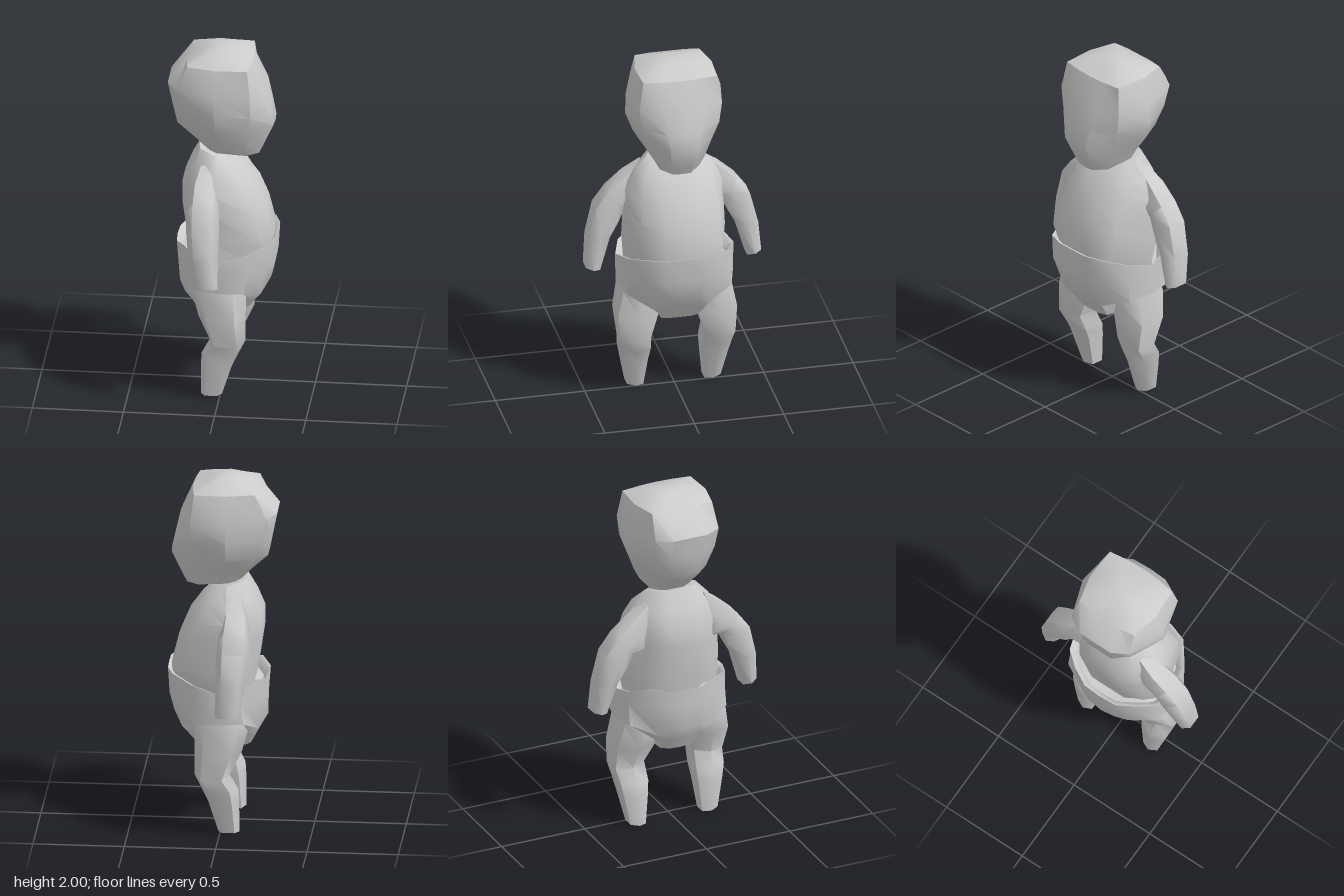
import * as THREE from 'three';
import { toCreasedNormals } from 'three/addons/utils/BufferGeometryUtils.js';

const material = new THREE.MeshStandardMaterial({ color: 0xcccccc });

// Skin a stack of closed rings, listed from top to bottom, and cap both ends.
function loft(name, rings, crease) {
  const pos = [];
  const tri = (...pts) => pts.forEach((p) => pos.push(...p));
  const centre = (ring) => [0, 1, 2].map((k) => ring.reduce((s, p) => s + p[k], 0) / ring.length);
  const n = rings[0].length;
  const first = rings[0], last = rings[rings.length - 1];
  const top = centre(first), bottom = centre(last);
  for (let j = 0; j < n; j++) {
    const k = (j + 1) % n;
    tri(top, first[k], first[j]);
    tri(bottom, last[j], last[k]);
    for (let i = 0; i < rings.length - 1; i++) {
      const a = rings[i][j], b = rings[i][k], c = rings[i + 1][k], d = rings[i + 1][j];
      tri(a, b, d);
      tri(b, c, d);
    }
  }
  const geometry = new THREE.BufferGeometry();
  geometry.setAttribute('position', new THREE.Float32BufferAttribute(pos, 3));
  const mesh = new THREE.Mesh(toCreasedNormals(geometry, crease), material);
  mesh.name = name;
  return mesh;
}

// Complete a half ring (belly line to spine, z >= 0) by mirroring it in z.
const mirrorRing = (half) => [
  ...half,
  ...half.slice(1, -1).reverse().map(([x, y, z]) => [x, y, -z]),
];

// Tilted body section with flat front and back:
// [frontX, frontY, frontCornerX, frontCornerZ, sideZ, backCornerX, backCornerZ, backX, backY].
function bodyRing([fx, fy, cx, cz, sz, bcx, bcz, bx, by]) {
  const at = (x, z) => [x, by + ((fy - by) * (x - bx)) / (fx - bx), z];
  return mirrorRing([
    at(fx, 0), at(fx - 0.005, cz * 0.45), at(cx, cz), at(-0.03, sz),
    at(bcx, bcz), at(bx, bcz * 0.53), at(bx, 0),
  ]);
}

// Six-sided limb; each section is [backX, frontX, outerZ, outerY, innerZ, innerY].
function limb(name, sections, side) {
  const rings = sections.map(([xb, xf, oz, oy, iz, iy]) => {
    const mid = (xb + xf) / 2, w = (xf - xb) * 0.3;
    const mz = (oz + iz) / 2, my = (oy + iy) / 2;
    const ring = [
      [xf, my, mz], [mid + w, oy, oz], [mid - w, oy, oz],
      [xb, my, mz], [mid - w, iy, iz], [mid + w, iy, iz],
    ].map(([x, y, z]) => [x, y, z * side]);
    return side < 0 ? ring.reverse() : ring;
  });
  return loft(name, rings, 1.1);
}

// Briefs: waistband with an inner lip, cut high at the legs.
function createBriefs() {
  const waist = [
    [0.298, 0.905, 0], [0.296, 0.905, 0.1], [0.262, 0.903, 0.2], [0.15, 0.868, 0.285], [0, 0.83, 0.33],
    [-0.12, 0.85, 0.29], [-0.2, 0.88, 0.2], [-0.25, 0.86, 0.1], [-0.256, 0.86, 0],
  ];
  const legLine = [
    [0.27, 0.67, 0], [0.265, 0.66, 0.08], [0.215, 0.585, 0.15], [0.138, 0.64, 0.29], [0, 0.655, 0.328],
    [-0.135, 0.65, 0.29], [-0.2, 0.585, 0.15], [-0.235, 0.62, 0.08], [-0.245, 0.62, 0],
  ];
  const crotch = [
    [0.155, 0.48, 0], [0.155, 0.48, 0.06], [0.135, 0.477, 0.105], [0.08, 0.475, 0.11], [0, 0.47, 0.11],
    [-0.08, 0.47, 0.11], [-0.13, 0.47, 0.105], [-0.155, 0.468, 0.06], [-0.16, 0.468, 0],
  ];
  const lip = (scale, drop) => waist.map(([x, y, z]) => [x * scale, y - drop, z * scale]);
  const hip = waist.map(([x, , z]) => [x * 0.97, 0.76, z]);
  // Halfway to the crotch, with the leg openings recessed to the inner thigh
  const opening = legLine.map((p, i) => (i > 2 && i < 6
    ? [p[0] * 0.8, 0.62, 0.15]
    : p.map((v, k) => (v + crotch[i][k]) / 2)));
  const rings = [lip(0.85, 0.05), lip(0.95, 0.005), waist, hip, legLine, opening, crotch];
  return loft('briefs', rings.map(mirrorRing), 0.75);
}

export function createModel() {
  const group = new THREE.Group();
  group.name = 'figure';

  // Head: boxy, with a flat face towards +x and a flat back
  group.add(loft('head', [
    [0.02, 1.998, 0.01, 0.06, 0.07, -0.07, 0.06, -0.08, 1.993],
    [0.08, 1.975, 0.07, 0.13, 0.15, -0.11, 0.12, -0.12, 1.972],
    [0.165, 1.94, 0.145, 0.205, 0.215, -0.185, 0.18, -0.195, 1.942],
    [0.235, 1.78, 0.165, 0.23, 0.265, -0.25, 0.19, -0.3, 1.81],
    [0.262, 1.66, 0.165, 0.215, 0.268, -0.22, 0.18, -0.275, 1.69],
    [0.282, 1.57, 0.15, 0.18, 0.225, -0.19, 0.14, -0.25, 1.56],
    [0.225, 1.44, 0.135, 0.14, 0.155, -0.13, 0.11, -0.165, 1.48],
    [0.2, 1.385, 0.13, 0.11, 0.12, -0.07, 0.09, -0.1, 1.41],
  ].map(bodyRing), 0.65));

  // Torso: sloping shoulders and a round belly
  group.add(loft('torso', [
    [0.04, 1.38, 0.01, 0.12, 0.15, -0.12, 0.1, -0.13, 1.42],
    [0.12, 1.3, 0.08, 0.18, 0.23, -0.15, 0.16, -0.18, 1.32],
    [0.19, 1.2, 0.13, 0.21, 0.278, -0.18, 0.18, -0.22, 1.22],
    [0.24, 1.08, 0.18, 0.22, 0.282, -0.16, 0.19, -0.22, 1.11],
    [0.28, 0.92, 0.22, 0.22, 0.29, -0.14, 0.21, -0.195, 0.94],
    [0.26, 0.78, 0.2, 0.2, 0.28, -0.12, 0.2, -0.17, 0.8],
  ].map(bodyRing), 0.9));

  group.add(createBriefs());

  // Arms and legs, mirrored in z
  for (const side of [1, -1]) {
    const suffix = side > 0 ? 'Right' : 'Left';
    group.add(limb('arm' + suffix, [
      [-0.13, -0.03, 0.17, 1.35, 0.14, 1.2],
      [-0.165, -0.005, 0.265, 1.28, 0.2, 1.1],
      [-0.172, 0.005, 0.36, 1.195, 0.27, 1.09],
      [-0.172, 0.01, 0.43, 1.1, 0.305, 1.01],
      [-0.155, 0.01, 0.475, 0.92, 0.355, 0.92],
      [-0.12, 0.01, 0.49, 0.75, 0.41, 0.73],
    ], side));
    group.add(limb('leg' + suffix, [
      [-0.13, 0.12, 0.28, 0.72, 0.11, 0.68],
      [-0.155, 0.142, 0.302, 0.63, 0.1, 0.58],
      [-0.12, 0.14, 0.332, 0.48, 0.11, 0.47],
      [-0.055, 0.14, 0.32, 0.33, 0.15, 0.35],
      [-0.1, 0.1, 0.31, 0.26, 0.145, 0.25],
      [-0.105, 0.065, 0.295, 0.18, 0.152, 0.18],
      [-0.105, 0.01, 0.262, 0.01, 0.17, 0],
    ], side));
  }
  return group;
}
